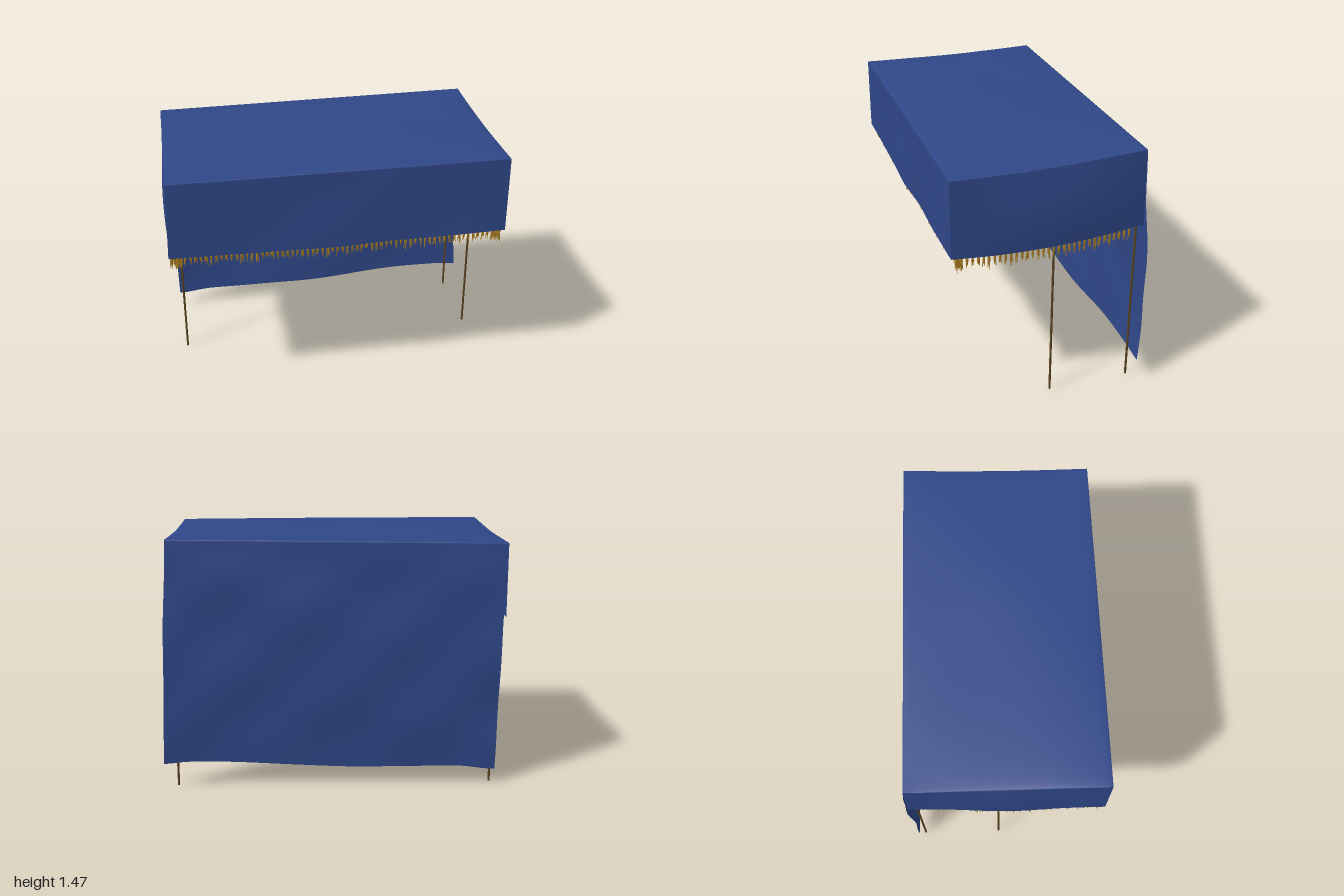
import * as THREE from 'three';
import { mergeGeometries } from 'three/addons/utils/BufferGeometryUtils.js';

const { sin, cos, PI } = Math;
const cloth = new THREE.MeshStandardMaterial({ color: 0x2f4788, side: THREE.DoubleSide });
const gold = new THREE.MeshStandardMaterial({ color: 0xa87c20 });
const wood = new THREE.MeshStandardMaterial({ color: 0x5a431f });

let seed = 7;
const rand = () => (seed = (seed * 16807) % 2147483647) / 2147483647;
const V = (x, y, z) => new THREE.Vector3(x, y, z);
const smooth = THREE.MathUtils.smoothstep;
const ripple = (a, b) => 0.5 * sin(6 * a + 4 * b) + 0.3 * sin(11 * a - 7 * b + 1) + 0.2 * sin(9 * b + 4 * a);
const arch = (u, power) => Math.max(0, sin(PI * u)) ** power;

// Cloth panels: s runs left edge to right edge, t back to front, v top to hem
function roof(s, t) {
  const y = 1.432 + 0.028 * s * (1 - t) - 0.014 * arch(t, 1)
    + 0.036 * arch(t ** 1.15, 0.7) * arch(s, 0.4) + 0.004 * ripple(s * 1.5, t) * arch(t, 1);
  return V(-0.975 + 1.92 * s, y, -0.535 + t * (1.11 - 0.025 * s));
}
function front(s, v) {
  const p = roof(s, 1);
  p.x -= 0.012 * v * (1 - s);
  p.y += (0.985 - 0.012 * sin(PI * s) - p.y) * v;
  p.z += 0.01 * ripple(s * 2, v * 0.6) * arch(s, 1) * Math.sqrt(v);
  return p;
}
function side(dir, t, v) {
  const p = roof(dir > 0 ? 1 : 0, t);
  const belly = sin(PI * t) * sin(PI * 0.7 * v);
  p.x += dir > 0 ? 0.035 * belly : -0.012 * v * t - 0.018 * belly * arch(t, 3);
  p.y += (0.97 + 0.04 * (1 - t) ** 2 + 0.015 * t ** 4 - p.y) * v;
  p.z -= 0.008 * v * (1 - t);
  return p;
}
function back(s, v) {
  const p = roof(s, 0);
  p.x += (1 - s) * (0.018 * smooth(v, 0, 0.4) + 0.012 * v * v) + s * (0.02 * smooth(v, 0, 0.4) + 0.035 * v * v);
  p.y += (0.088 + 0.022 * smooth(s, 0, 0.12) + 0.045 * smooth(s, 0.4, 0.85) - 0.012 * smooth(s, 0.92, 1) - p.y) * v;
  p.z -= 0.022 * sin(PI * Math.min(1, v)) + 0.005 * v
    + 0.017 * ripple(s * 1.6, v * 1.7) * smooth(v, 0, 0.25) * (1 - 0.6 * smooth(v, 0.7, 1));
  return p;
}
const ease = u => 0.5 - 0.5 * cos(PI * u);

// Back curtain, roof and front valance are one length of cloth
function drape(s, q) {
  const u = q * 3;
  if (u < 1) return back(ease(s), 1 - ease(u));
  return u <= 2 ? roof(ease(s), ease(u - 1)) : front(ease(s), ease(u - 2));
}

function sheet(name, fn, nu, nv) {
  const pos = [], index = [];
  for (let j = 0; j <= nv; j++) {
    for (let i = 0; i <= nu; i++) {
      pos.push(...fn(i / nu, j / nv).toArray());
      if (i < nu && j < nv) {
        const a = j * (nu + 1) + i, b = a + nu + 1;
        index.push(a, b, a + 1, a + 1, b, b + 1);
      }
    }
  }
  const geo = new THREE.BufferGeometry();
  geo.setAttribute('position', new THREE.Float32BufferAttribute(pos, 3));
  geo.setIndex(index);
  geo.computeVertexNormals();
  const mesh = new THREE.Mesh(geo, cloth);
  mesh.name = name;
  return mesh;
}

// One tassel: small knotted head with loose, tapering strands
const headProfile = [[0, 0.004], [0.006, 0], [0.004, -0.01], [0.008, -0.026], [0.005, -0.045], [0, -0.055]]
  .map(([r, y]) => new THREE.Vector2(r, y)).reverse();
function tassel(at, length) {
  const parts = [new THREE.LatheGeometry(headProfile, 6)];
  for (let k = 0; k < 4; k++) {
    const len = length * (0.65 + 0.35 * rand());
    const strand = new THREE.CylinderGeometry(0.0045, 0.0012, len, 4, 2);
    strand.translate(0, -len / 2, 0);
    strand.rotateX((rand() - 0.5) * 0.25);
    strand.rotateZ((rand() - 0.5) * 0.25);
    strand.translate((rand() - 0.5) * 0.008, 0, (rand() - 0.5) * 0.008);
    parts.push(strand);
  }
  return mergeGeometries(parts).translate(at.x, at.y, at.z);
}

// Row of tassels and its cord, following a hem
function fringe(name, hem, count) {
  const parts = [new THREE.TubeGeometry(
    new THREE.CatmullRomCurve3(Array.from({ length: 13 }, (_, i) => hem(i / 12))), 48, 0.004, 5)];
  for (let i = 0; i < count; i++) parts.push(tassel(hem((i + 0.5) / count), 0.07 + 0.025 * rand()));
  const mesh = new THREE.Mesh(mergeGeometries(parts), gold);
  mesh.name = name;
  return mesh;
}

function bar(name, a, b, r = 0.0065) {
  const mesh = new THREE.Mesh(new THREE.CylinderGeometry(r, r, a.distanceTo(b), 10), wood);
  mesh.name = name;
  mesh.position.copy(a).lerp(b, 0.5);
  mesh.quaternion.setFromUnitVectors(V(0, 1, 0), b.clone().sub(a).normalize());
  return mesh;
}

export function createModel() {
  const group = new THREE.Group();

  group.add(sheet('canopyCloth', drape, 60, 66));
  group.add(sheet('leftValance', (s, v) => side(1, 1 - s, v), 30, 14));
  group.add(sheet('rightValance', (s, v) => side(-1, s, v), 30, 14));

  // Fringes sit just inside the hems
  group.add(fringe('frontFringe', s => front(0.01 + 0.98 * s, 1).add(V(0, 0.004, -0.04)), 66));
  for (const dir of [1, -1]) {
    const label = dir > 0 ? 'left' : 'right';
    group.add(fringe(label + 'Fringe', t => side(dir, 0.06 + 0.9 * t, 1).add(V(-0.015 * dir, 0.004, 0)), 33));

    // Thicker bunch of tassels where the fringes meet at the front corner
    const bunch = [];
    for (let k = 0; k < 9; k++) {
      const p = front(dir > 0 ? 1 : 0, 1);
      bunch.push(tassel(p.add(V(-dir * (0.012 + 0.07 * rand()), -0.012 * rand(), -0.03 - 0.03 * rand())), 0.09));
    }
    const corner = new THREE.Mesh(mergeGeometries(bunch), gold);
    corner.name = label + 'CornerTassels';
    group.add(corner);

    // Poles and side frame
    const x = 0.92 * dir;
    group.add(bar(label + 'MiddlePole', V(x, 0, -0.03), V(x, 1.4, -0.03)));
    group.add(bar(label + 'BackPole', V(x, 0, -0.51), V(x, 1.4, -0.51)));
    group.add(bar(label + 'TopRail', V(x, 1.4, -0.51), V(x, 1.4, 0.5)));
    group.add(bar(label + 'FrontDrop', V(x, 1.03, 0.5), V(x, 1.4, 0.5)));
  }

  // Cross beams under the roof
  for (const [name, y, z] of [['backBeam', 1.4, -0.51], ['middleBeam', 1.4, -0.03],
    ['frontBeam', 1.37, 0.5], ['lowerFrontBeam', 1.03, 0.5]]) {
    group.add(bar(name, V(-0.92, y, z), V(0.92, y, z), 0.01));
  }
  return group;
}
